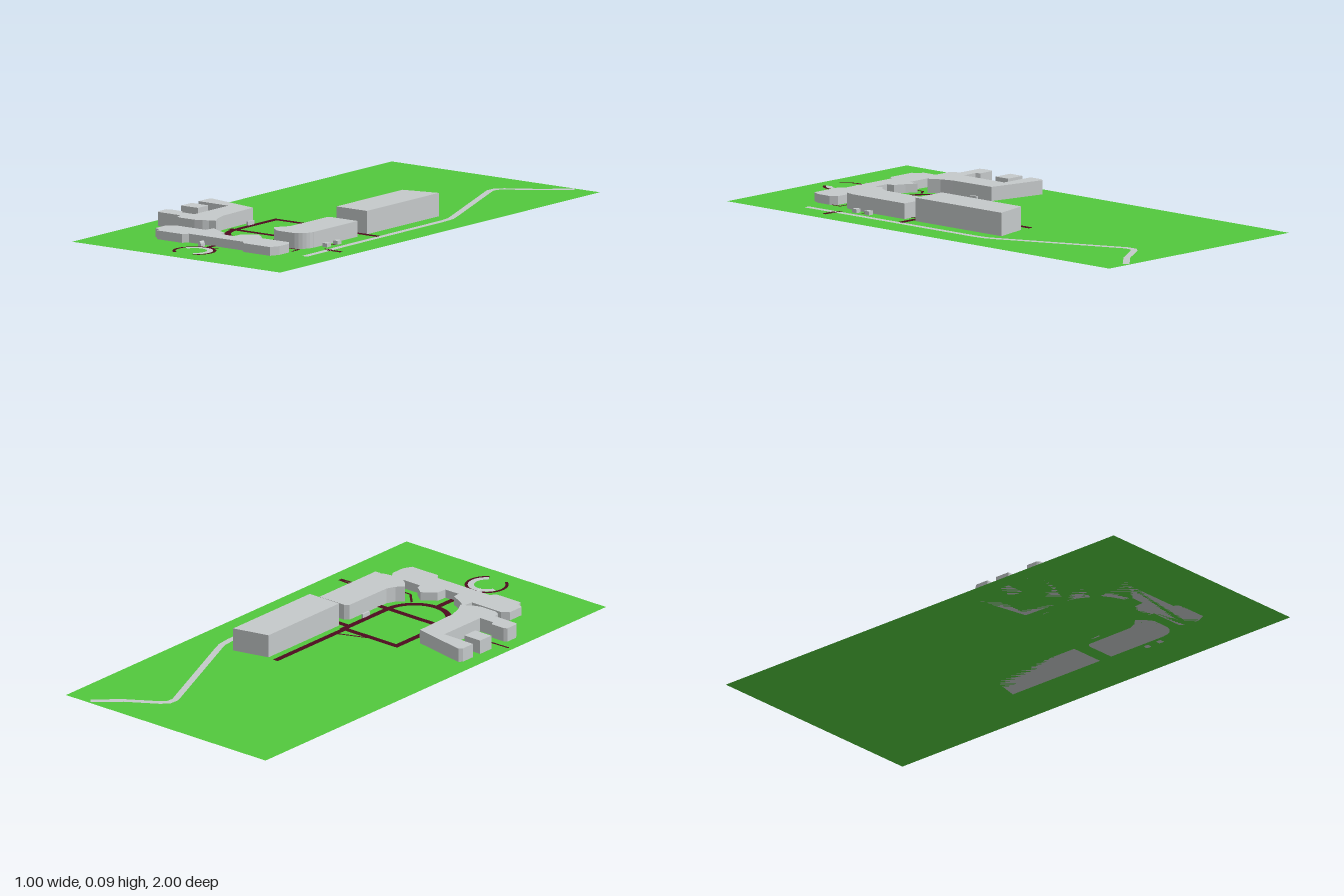
import * as THREE from 'three';

const flat = (name, color) => new THREE.MeshStandardMaterial({ name, color, side: THREE.DoubleSide });

// Plan coordinates are [x, z]; shapes are drawn in (x, -z) and laid down on the ground.
const planShape = (pts) => new THREE.Shape(pts.map(([x, z]) => new THREE.Vector2(x, -z)));

// Outline of a constant-width strip along a polyline, with mitred corners
function strip(pts, width) {
  const dir = (a, b) => new THREE.Vector2(b[0] - a[0], b[1] - a[1]).normalize();
  const left = [], right = [];
  pts.forEach((p, i) => {
    const d0 = dir(pts[Math.max(i - 1, 0)], pts[Math.max(i, 1)]);
    const last = pts.length - 1;
    const d1 = dir(pts[Math.min(i, last - 1)], pts[Math.min(i + 1, last)]);
    const t = d0.clone().add(d1).normalize();
    const h = width / 2 / Math.max(0.4, t.dot(d0));
    left.push([p[0] - t.y * h, p[1] + t.x * h]);
    right.unshift([p[0] + t.y * h, p[1] - t.x * h]);
  });
  return left.concat(right);
}

// Points on an arc; angle 0 is +x and 90 degrees is towards the front
function arc(cx, cz, r, from, to, n = 20) {
  return Array.from({ length: n + 1 }, (_, i) => {
    const a = THREE.MathUtils.degToRad(from + ((to - from) * i) / n);
    return [cx + r * Math.cos(a), cz + r * Math.sin(a)];
  });
}

export function createModel() {
  const model = new THREE.Group();
  model.name = 'campus';
  const grass = flat('grass green', 0x52c83d);
  const stone = flat('pale grey', 0xc5c9ca);
  const maroon = flat('dark maroon', 0x4c0a1e);

  const add = (name, geometry, material, y = 0) => {
    const mesh = new THREE.Mesh(geometry, material);
    mesh.name = name;
    mesh.position.y = y;
    model.add(mesh);
    return mesh;
  };
  const building = (name, pts, height) => add(name,
    new THREE.ExtrudeGeometry(planShape(pts), { depth: height, bevelEnabled: false }).rotateX(-Math.PI / 2), stone);
  const path = (name, pts, width, material, y) => add(name,
    new THREE.ShapeGeometry(planShape(strip(pts, width))).rotateX(-Math.PI / 2), material, y);

  // Lawn
  add('lawn', new THREE.PlaneGeometry(1, 2).rotateX(-Math.PI / 2), grass);

  // Tall hall with a slanted back wall
  building('backHall', [[0.155, -0.215], [0.302, -0.25], [0.302, 0.2], [0.155, 0.2]], 0.091);

  // Right wing with rounded front end
  building('rightWing', [
    [0.162, 0.27], [0.178, 0.257], [0.302, 0.257], [0.302, 0.53],
    ...arc(0.24, 0.535, 0.06, 0, 90, 6),
    [0.175, 0.595], [0.145, 0.575], [0.12, 0.545], [0.145, 0.52], [0.16, 0.485],
  ], 0.061);

  // Left wing with two arms around a court
  building('leftWing', [
    [-0.437, 0.235], [-0.425, 0.22], [-0.193, 0.267], [-0.187, 0.463], [-0.172, 0.516],
    [-0.147, 0.56], [-0.175, 0.568], [-0.195, 0.583], [-0.225, 0.593], [-0.295, 0.593],
    [-0.317, 0.58], [-0.322, 0.556], [-0.43, 0.555], [-0.437, 0.545], [-0.437, 0.495],
    [-0.425, 0.487], [-0.365, 0.487], [-0.355, 0.505], [-0.292, 0.505], [-0.292, 0.295], [-0.437, 0.292],
  ], 0.055);
  building('courtBlock', [[-0.437, 0.335], [-0.357, 0.335], [-0.357, 0.4], [-0.437, 0.4]], 0.055);

  // Long low front building with two angled links towards the loop
  building('frontBuilding', [
    [-0.308, 0.66], [-0.28, 0.64], [-0.135, 0.64], [-0.13, 0.595], [-0.09, 0.62], [-0.045, 0.64],
    [-0.04, 0.672], [0.025, 0.672], [0.028, 0.63], [0.08, 0.59], [0.12, 0.62], [0.125, 0.64],
    [0.265, 0.64], [0.285, 0.665], [0.285, 0.725], [0.268, 0.762], [0.14, 0.762], [0.122, 0.74],
    [-0.138, 0.74], [-0.155, 0.762], [-0.275, 0.762], [-0.283, 0.74], [-0.308, 0.73],
  ], 0.034);

  // Small posts and kiosks
  [[0.328, 0.42], [0.328, 0.485]].forEach(([x, z]) =>
    add('kiosk', new THREE.BoxGeometry(0.022, 0.015, 0.024), stone, 0.0075).position.set(x, 0.0075, z));
  [[-0.158, 0.33], [0.133, 0.33]].forEach(([x, z]) =>
    add('doorMarker', new THREE.BoxGeometry(0.008, 0.018, 0.04), stone).position.set(x, 0.009, z));

  // Pointed arch beside the round plaza
  const arch = new THREE.Shape();
  arch.moveTo(-0.007, 0);
  arch.lineTo(0.007, 0);
  arch.lineTo(0.007, 0.012);
  arch.quadraticCurveTo(0.006, 0.02, 0, 0.023);
  arch.quadraticCurveTo(-0.006, 0.02, -0.007, 0.012);
  add('arch', new THREE.ExtrudeGeometry(arch, { depth: 0.025, bevelEnabled: false }), stone)
    .position.set(-0.05, 0, 0.765);

  // Long pale road down the right side
  path('road', [
    [0.39, -0.985], [0.295, -0.9], [0.175, -0.825], [0.153, -0.8], [0.152, -0.765],
    [0.355, -0.275], [0.37, -0.235], [0.376, -0.18], [0.378, 0.4], [0.382, 0.695],
  ], 0.026, stone, 0.0015);

  // Main loop: straight back with a half-round front
  path('loopWalk', [
    [0, 0.185], [0.118, 0.185], ...arc(-0.014, 0.443, 0.132, 0, 180), [-0.146, 0.185], [0, 0.185],
  ], 0.025, maroon, 0.002);

  // Straight walks: points and width
  [
    [[[0.112, -0.225], [0.112, 0.19]], 0.024],
    [[[-0.17, 0.443], [0.16, 0.443]], 0.025],
    [[[0.11, 0.215], [0.37, 0.215]], 0.024],
    [[[-0.014, 0.57], [-0.014, 0.68]], 0.024],
    [[[-0.014, 0.73], [-0.014, 0.8]], 0.02],
    [[[-0.02, 0.178], [0.115, 0.125]], 0.008],
    [[[-0.485, 0.447], [-0.28, 0.441]], 0.009],
    [[[-0.325, 0.445], [-0.325, 0.48]], 0.009],
    [[[0.295, 0.445], [0.34, 0.446]], 0.009],
    [[[0.262, 0.22], [0.262, 0.26]], 0.009],
    [[[0.09, 0.55], [0.145, 0.607], [0.288, 0.607], [0.288, 0.65]], 0.009],
    [[[-0.115, 0.56], [-0.148, 0.585], [-0.15, 0.645]], 0.009],
    [[[0.355, 0.535], [0.445, 0.54]], 0.01],
    [[[0.38, 0.55], [0.445, 0.55]], 0.01],
    [[[-0.014, 0.785], [0.035, 0.78]], 0.008],
  ].forEach(([pts, width]) => path('walk', pts, width, maroon, 0.0025));

  // Round plaza, open at the front
  path('plazaRim', arc(-0.014, 0.868, 0.078, 122, 418, 32), 0.012, maroon, 0.003);
  path('plazaSeat', arc(-0.014, 0.868, 0.06, 200, 418, 28), 0.024, stone, 0.0035);

  return model;
}
